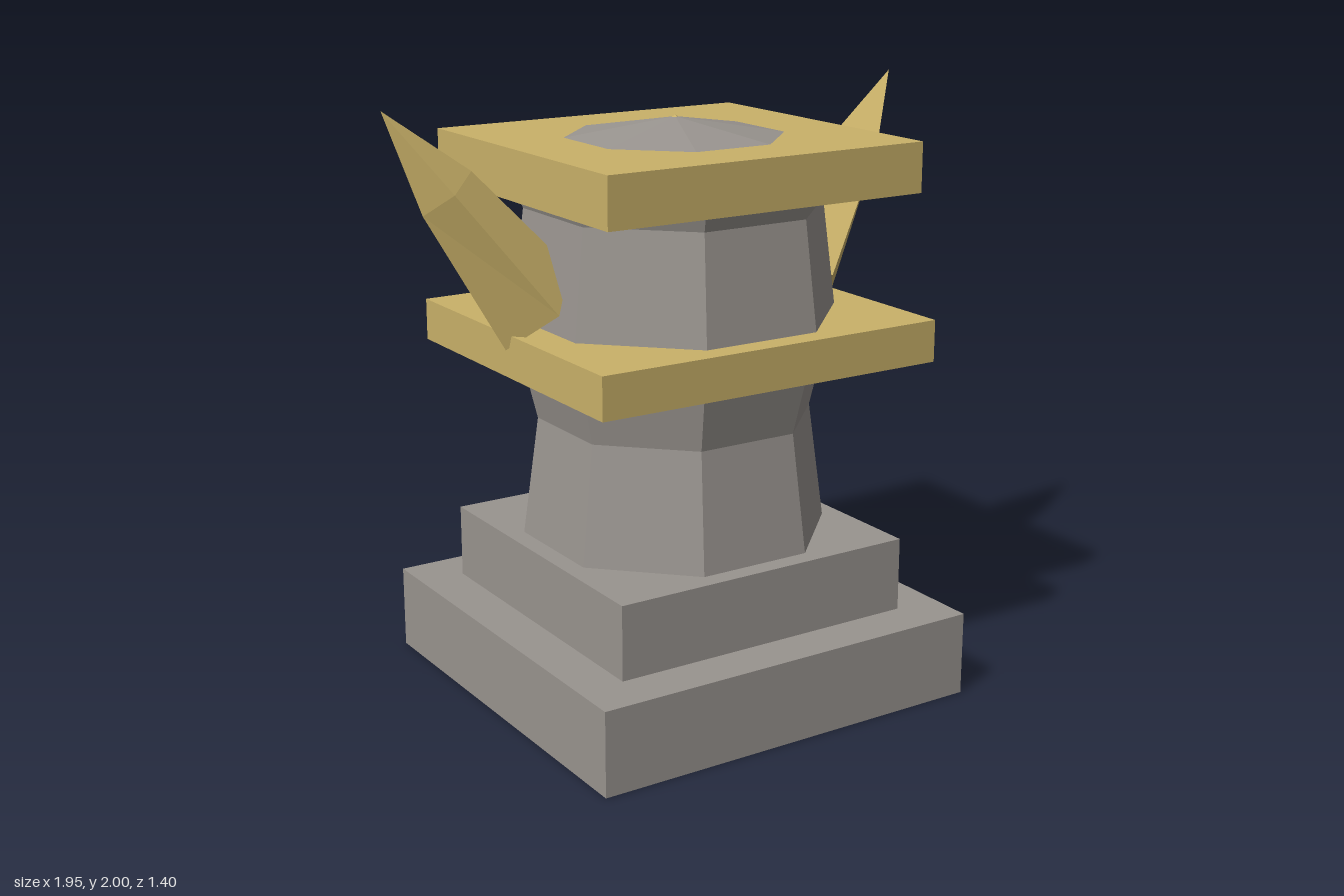
import * as THREE from 'three';

const stone = new THREE.MeshStandardMaterial({ color: 0x99948f });
stone.name = 'stone grey';
const gold = new THREE.MeshStandardMaterial({ color: 0xc9b169 });
gold.name = 'pale gold';
const copper = new THREE.MeshStandardMaterial({ color: 0xcc9054 });
copper.name = 'copper';

// Gives every face its own flat normal
function faceted(geometry) {
  const g = geometry.index ? geometry.toNonIndexed() : geometry;
  g.computeVertexNormals();
  return g;
}

// Box with its bottom at y0 and its top at y1
function slab(w, d, y0, y1) {
  return new THREE.BoxGeometry(w, y1 - y0, d).translate(0, (y0 + y1) / 2, 0);
}

// Eight-sided turned shape; the profile lists [distance to flat, height]
function octagon(profile) {
  const k = 1 / Math.cos(Math.PI / 8);
  const points = profile.map(([r, y]) => new THREE.Vector2(r * k, y));
  return faceted(new THREE.LatheGeometry(points, 8, Math.PI / 8));
}

// Four-sided bent horn: base ring, middle ring and a tip
function horn(side) {
  const base = [[0.635, 1.235, 0], [0.5, 1.345, -0.16], [0.4, 1.475, 0], [0.53, 1.365, 0.16]];
  const middle = [[0.87, 1.675, -0.075], [0.77, 1.73, -0.178], [0.7, 1.8, -0.075], [0.81, 1.75, 0.028]];
  const tip = [0.975, 2, -0.122];
  const positions = [];
  const tri = (a, b, c) => {
    const corners = side > 0 ? [a, b, c] : [a, c, b];
    for (const p of corners) positions.push(p[0] * side, p[1], p[2]);
  };
  for (let i = 0; i < 4; i++) {
    const j = (i + 1) % 4;
    tri(base[i], base[j], middle[j]);
    tri(base[i], middle[j], middle[i]);
    tri(middle[i], middle[j], tip);
  }
  tri(base[0], base[2], base[1]);
  tri(base[0], base[3], base[2]);
  const g = new THREE.BufferGeometry();
  g.setAttribute('position', new THREE.Float32BufferAttribute(positions, 3));
  return faceted(g);
}

export function createModel() {
  const model = new THREE.Group();
  model.name = 'tower';
  const add = (name, geometry, material) => {
    const mesh = new THREE.Mesh(geometry, material);
    mesh.name = name;
    model.add(mesh);
    return mesh;
  };

  // Stepped plinth
  add('lowerPlinth', slab(1.4, 1.4, 0, 0.285), stone);
  add('upperPlinth', slab(1.086, 1.086, 0.285, 0.535), stone);

  // Waisted column, in two stages
  add('lowerColumn', octagon([[0.478, 0.535], [0.428, 0.935], [0.475, 1.145]]), stone);
  add('upperColumn', octagon([[0.502, 1.285], [0.46, 1.642], [0.48, 1.7]]), stone);

  // Gold slabs
  add('middleSlab', slab(1.256, 1.164, 1.145, 1.285), gold);
  add('topSlab', slab(1.164, 1.09, 1.7, 1.865), gold);

  // Shallow cap and its tiny finial
  add('cap', octagon([[0.335, 1.865], [0, 1.925]]), stone);
  add('finial', faceted(new THREE.ConeGeometry(0.015, 0.01, 4).translate(0, 1.926, 0)), gold);

  // Horns and pyramid eyes in mirrored pairs
  for (const side of [1, -1]) {
    const label = side > 0 ? 'left' : 'right';
    add(label + 'Horn', horn(side), gold);
    const eye = new THREE.ConeGeometry(0.115, 0.17, 4);
    eye.rotateX(-Math.PI / 2).translate(0.215 * side, 1.475, -0.56);
    add(label + 'Eye', faceted(eye), copper);
  }

  // Mouth block on the back
  add('mouth', slab(0.38, 0.155, 0.97, 1.135).translate(0, 0, -0.4775), copper);

  return model;
}
